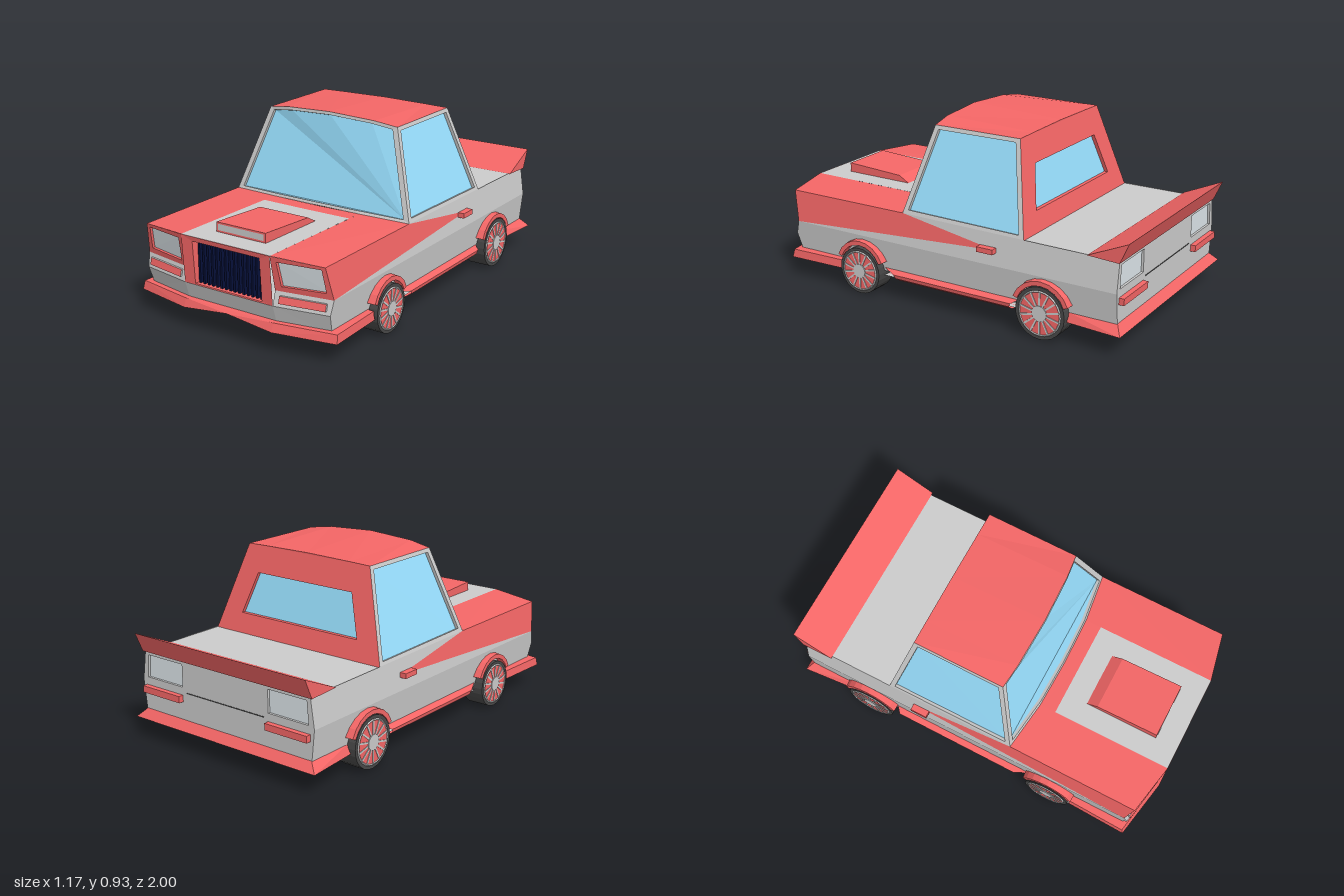
import * as THREE from 'three';

const mat = (color) => new THREE.MeshStandardMaterial({ color, flatShading: true, side: THREE.DoubleSide });
const M = {
  grey: mat(0xcccccc), red: mat(0xf46666), glass: mat(0x99e0ff),
  lamp: mat(0xdde6ea), navy: mat(0x06103a), tyre: mat(0x484848),
};

// Mesh from a list of convex (or first-corner-fan) polygons
function panel(parent, name, material, polys) {
  const v = [];
  for (const p of polys)
    for (let i = 1; i < p.length - 1; i++) v.push(...p[0], ...p[i], ...p[i + 1]);
  const g = new THREE.BufferGeometry();
  g.setAttribute('position', new THREE.Float32BufferAttribute(v, 3));
  g.computeVertexNormals();
  const m = new THREE.Mesh(g, material);
  m.name = name;
  parent.add(m);
  return m;
}

// Quads joining neighbouring rows of points
function strips(rows, closed = false) {
  const quads = [];
  for (let r = 0; r < rows.length - 1; r++) {
    const a = rows[r], b = rows[r + 1], n = a.length;
    for (let i = 0; i < (closed ? n : n - 1); i++) {
      const j = (i + 1) % n;
      quads.push([a[i], b[i], b[j], a[j]]);
    }
  }
  return quads;
}

// Frame around an opening, with a recessed pane
function framed(parent, name, frameMat, paneMat, outer, inner, depth) {
  const back = inner.map((p) => p.map((c, i) => c + depth[i]));
  panel(parent, name + 'Frame', frameMat, strips([outer, inner, back], true));
  panel(parent, name, paneMat, [back]);
}

const shrink = (loop, k) => {
  const c = [0, 1, 2].map((i) => loop.reduce((s, p) => s + p[i], 0) / loop.length);
  return loop.map((p) => p.map((v, i) => v + (c[i] - v) * k));
};
const flip = (p) => [-p[0], p[1], p[2]];

function box(parent, name, material, size, pos) {
  const m = new THREE.Mesh(new THREE.BoxGeometry(...size), material);
  m.name = name;
  m.position.set(...pos);
  parent.add(m);
  return m;
}

// Prism across the car from a side profile of [z, y] points
function prism(parent, name, material, profile, halfWidth) {
  const L = profile.map(([z, y]) => [halfWidth, y, z]);
  const R = L.map(flip);
  return panel(parent, name, material, [...strips([L, R], true), L, [...R].reverse()]);
}

// Body surface rules
function piecewise(table, y) {
  let i = 0;
  while (i < table.length - 2 && y > table[i + 1][0]) i++;
  const [y0, a] = table[i], [y1, b] = table[i + 1];
  return a + ((b - a) * (y - y0)) / (y1 - y0);
}
const sideX = (y) => piecewise([[0.14, 0.53], [0.31, 0.548], [0.47, 0.525]], y);
const noseZ = (y) => piecewise([[0.14, 0.955], [0.24, 0.985], [0.31, 0.965], [0.48, 1]], y);
const nose = (x, y) => [x, y, noseZ(y) - 0.05 * Math.max(0, (Math.abs(x) - 0.26) / (sideX(y) - 0.26))];
const corner = (y) => nose(sideX(y), y);
const side = (z, y) => [sideX(y), y, z];

function wheel(z, r) {
  const g = new THREE.Group();
  g.name = 'wheel';
  const disc = (name, material, radius, width, x) => {
    const m = new THREE.Mesh(new THREE.CylinderGeometry(radius, radius, width, 24), material);
    m.name = name;
    m.rotation.z = Math.PI / 2;
    m.position.x = x;
    g.add(m);
  };
  disc('tyre', M.tyre, r, 0.115, 0);
  disc('rim', M.red, r * 0.82, 0.004, 0.057);
  disc('hub', M.grey, r * 0.3, 0.012, 0.058);
  const ring = new THREE.Mesh(new THREE.TorusGeometry(r * 0.83, 0.005, 4, 24), M.grey);
  ring.name = 'rimRing';
  ring.rotation.y = Math.PI / 2;
  ring.position.x = 0.058;
  g.add(ring);
  for (let i = 0; i < 14; i++) {
    const a = (i / 14) * Math.PI * 2;
    const s = box(g, 'spoke', M.grey, [0.008, r * 0.6, 0.009],
      [0.058, Math.cos(a) * r * 0.54, Math.sin(a) * r * 0.54]);
    s.rotation.x = a;
  }
  g.position.set(0.522, r + 0.008, z);
  return g;
}

// Flare over a wheel
function arch(parent, z, r) {
  const row = (x, rad) => Array.from({ length: 9 }, (_, i) => {
    const a = (0.12 + (0.76 * i) / 8) * Math.PI;
    return [x, 0.14 + Math.sin(a) * rad, z + Math.cos(a) * rad];
  });
  panel(parent, 'wheelArch', M.red,
    strips([row(0.53, r + 0.03), row(0.578, r + 0.027), row(0.578, r + 0.004), row(0.53, r + 0.004)]));
}

function buildHalf() {
  const g = new THREE.Group();
  const tip = side(-0.3, 0.385);

  // Flank: red wedge over grey
  panel(g, 'sideWedge', M.red, [[corner(0.47), corner(0.31), tip, side(0.25, 0.47)]]);
  panel(g, 'sidePanel', M.grey, [
    [tip, corner(0.31), side(-0.95, 0.31), side(-0.95, 0.46), side(0.25, 0.47)],
    [corner(0.31), corner(0.24), corner(0.14), side(-0.95, 0.14), side(-0.95, 0.31)],
  ]);
  box(g, 'doorHandle', M.red, [0.035, 0.026, 0.09], [0.555, 0.387, -0.26]);

  // Nose corner with headlight and indicator
  framed(g, 'headlight', M.red, M.lamp,
    [nose(0.26, 0.485), corner(0.47), corner(0.31), nose(0.26, 0.31)],
    [nose(0.287, 0.458), nose(0.505, 0.455), nose(0.515, 0.34), nose(0.295, 0.335)], [0, 0, -0.015]);
  framed(g, 'indicator', M.grey, M.red,
    [nose(0.26, 0.31), corner(0.31), corner(0.24), nose(0.26, 0.24)],
    [nose(0.29, 0.292), nose(0.52, 0.292), nose(0.52, 0.258), nose(0.29, 0.258)], [0, 0, 0.01]);
  panel(g, 'bumper', M.grey, [
    [nose(0, 0.24), nose(0.26, 0.24), nose(0.26, 0.14), nose(0, 0.14)],
    [nose(0.26, 0.24), corner(0.24), corner(0.14), nose(0.26, 0.14)],
  ]);

  // Hood side and cowl
  panel(g, 'hood', M.red, [
    [[0.26, 0.485, 1], corner(0.47), side(0.25, 0.47), [0.26, 0.48, 0.285]],
    [[0, 0.48, 0.37], [0.26, 0.481, 0.37], [0.26, 0.48, 0.285], [0, 0.48, 0.29]],
  ]);
  panel(g, 'hoodStripe', M.grey, [[[0, 0.485, 1], [0.26, 0.485, 1], [0.26, 0.481, 0.37], [0, 0.48, 0.37]]]);

  // Side window
  const win = [side(0.25, 0.47), side(-0.45, 0.46), [0.385, 0.905, -0.345], [0.385, 0.905, 0.14]];
  framed(g, 'sideWindow', M.grey, M.glass, win, shrink(win, 0.09), [-0.016, -0.005, 0]);

  // Tail
  panel(g, 'tailPanel', M.grey, [[[0, 0.46, -0.95], [0.25, 0.46, -0.95], [0.25, 0.14, -0.95], [0, 0.14, -0.95]],
    [[0.25, 0.31, -0.95], side(-0.95, 0.31), side(-0.95, 0.14), [0.25, 0.14, -0.95]]]);
  framed(g, 'tailLight', M.grey, M.lamp,
    [[0.25, 0.46, -0.95], side(-0.95, 0.46), side(-0.95, 0.31), [0.25, 0.31, -0.95]],
    [[0.275, 0.44, -0.95], [0.505, 0.44, -0.95], [0.515, 0.325, -0.95], [0.275, 0.325, -0.95]], [0, 0, 0.012]);
  box(g, 'tailIndicator', M.red, [0.25, 0.034, 0.03], [0.4, 0.268, -0.962]);
  box(g, 'bootSeam', M.tyre, [0.25, 0.005, 0.004], [0.125, 0.3, -0.95]);

  // Lower lips, sill and floor
  panel(g, 'frontLip', M.red, strips([
    [[0.53, 0.16, 0.62], corner(0.16), nose(0.26, 0.16), nose(0, 0.16)],
    [[0.565, 0.158, 0.62], [0.575, 0.158, 0.93], [0.26, 0.158, 0.985], [0, 0.158, 0.985]],
    [[0.57, 0.115, 0.62], [0.58, 0.115, 0.94], [0.26, 0.115, 1], [0, 0.145, 1]],
  ]));
  panel(g, 'rearLip', M.red, strips([
    [[0.53, 0.16, -0.69], [0.53, 0.16, -0.95], [0, 0.16, -0.95]],
    [[0.55, 0.115, -0.69], [0.575, 0.115, -0.985], [0, 0.115, -0.985]],
  ]));
  panel(g, 'sill', M.red, strips([
    [[0.53, 0.16, 0.37], [0.53, 0.16, -0.43]],
    [[0.565, 0.145, 0.29], [0.565, 0.145, -0.4]],
    [[0.56, 0.125, 0.28], [0.56, 0.125, -0.39]],
    [[0.53, 0.105, 0.28], [0.53, 0.105, -0.39]],
    [[0.5, 0.116, 0.37], [0.5, 0.116, -0.43]],
  ]));
  panel(g, 'floor', M.grey, [[[0, 0.115, 0], [0, 0.145, 1], [0.26, 0.115, 1], [0.58, 0.115, 0.94],
    [0.57, 0.115, 0.62], [0.53, 0.115, 0.35], [0.53, 0.115, -0.69], [0.575, 0.115, -0.985], [0, 0.115, -0.985]]]);

  for (const [z, r] of [[0.49, 0.122], [-0.57, 0.132]]) {
    g.add(wheel(z, r));
    arch(g, z, r);
  }
  return g;
}

export function createModel() {
  const car = new THREE.Group();
  car.name = 'car';

  const left = buildHalf();
  left.name = 'leftHalf';
  const right = buildHalf();
  right.name = 'rightHalf';
  right.scale.x = -1;
  car.add(left, right);

  // Grille with upright fins
  const quad = (x, top, bottom) => [nose(-x, top), nose(x, top), nose(x, bottom), nose(-x, bottom)];
  framed(car, 'grille', M.red, M.navy, quad(0.26, 0.485, 0.24), quad(0.197, 0.46, 0.246), [0, 0, -0.05]);
  for (let i = 0; i < 15; i++)
    box(car, 'grilleFin', M.navy, [0.011, 0.212, 0.035], [-0.182 + i * 0.026, 0.353, 0.95]);

  // Hood scoop
  prism(car, 'hoodScoop', M.red, [[0.88, 0.48], [0.88, 0.533], [0.55, 0.515], [0.49, 0.48]], 0.145);
  panel(car, 'scoopMouth', M.grey,
    [[[-0.135, 0.494, 0.882], [0.135, 0.494, 0.882], [0.135, 0.525, 0.882], [-0.135, 0.525, 0.882]]]);

  // Windscreen, bowed forward
  const base = [side(0.25, 0.47), [0.26, 0.48, 0.285], [0, 0.482, 0.292]];
  const brow = [[0.385, 0.905, 0.14], [0.26, 0.923, 0.155], [0, 0.935, 0.165]];
  const across = (h) => [...h, ...h.slice(0, -1).reverse().map(flip)];
  const screen = [...across(base), ...across(brow).reverse()];
  framed(car, 'windscreen', M.grey, M.glass, screen, shrink(screen, 0.065), [0, -0.005, -0.015]);

  // Roof and rear wall
  const roofBack = across([[0.385, 0.905, -0.345], [0.26, 0.908, -0.345], [0, 0.912, -0.345]]);
  panel(car, 'roof', M.red, strips([across(brow), roofBack]));
  const b = side(-0.45, 0.46), t = roofBack[0];
  const onWall = (x, y) => [x, y, -0.45 + ((y - 0.46) / 0.445) * 0.105];
  const w0 = onWall(0.37, 0.56), w1 = onWall(0.3, 0.77);
  framed(car, 'rearWindow', M.red, M.glass, [b, flip(b), flip(t), t], [w0, flip(w0), flip(w1), w1], [0, 0, 0.02]);
  panel(car, 'roofBackEdge', M.red, [roofBack]);

  // Boot lid and spoiler
  const d = side(-0.95, 0.46);
  panel(car, 'bootLid', M.grey, [[b, flip(b), flip(d), d]]);
  prism(car, 'spoiler', M.red, [[-0.79, 0.463], [-1, 0.556], [-0.955, 0.455]], 0.54);
  return car;
}
